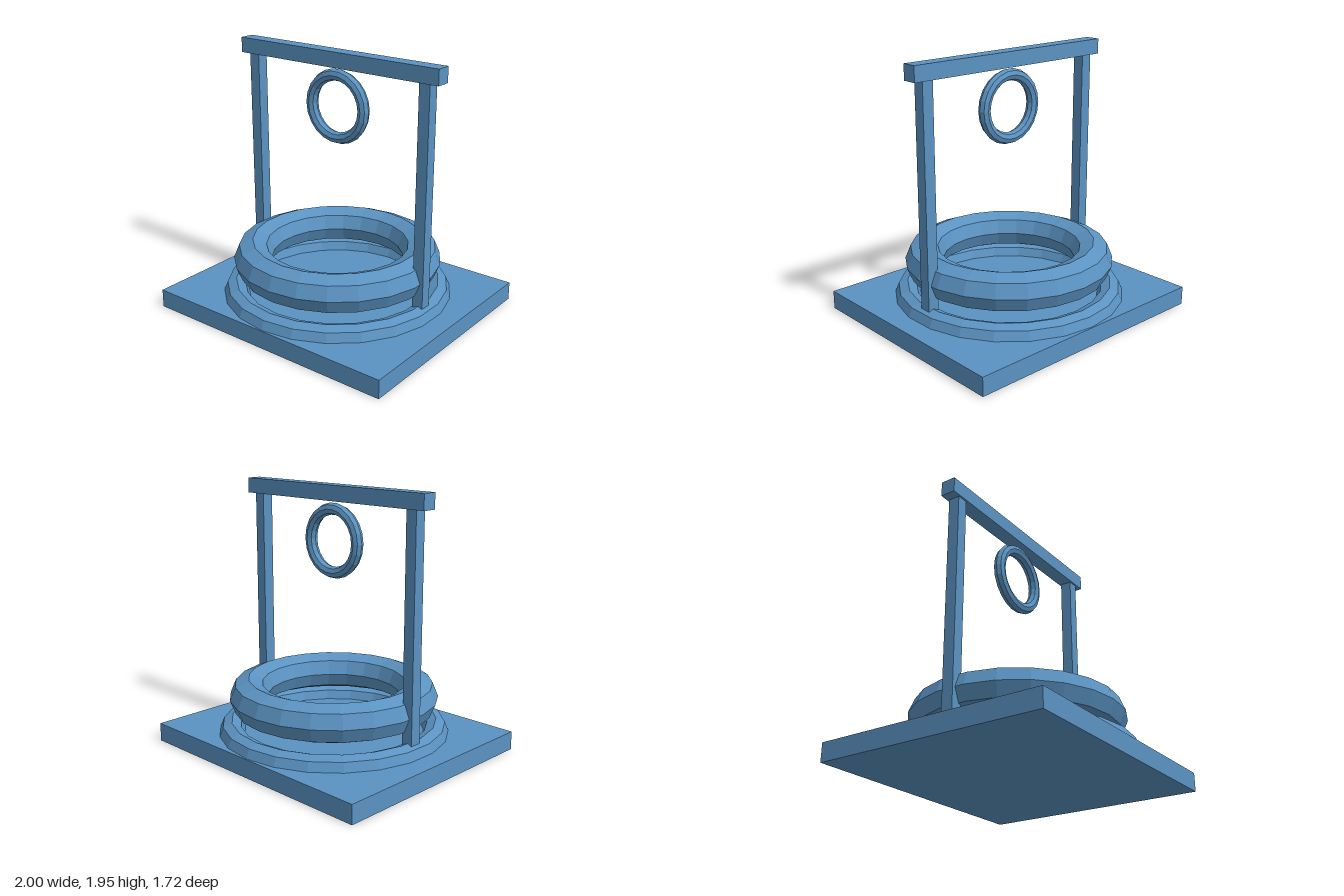
import * as THREE from 'three';

export function createModel() {
  const model = new THREE.Group();
  model.name = 'well';
  const blue = new THREE.MeshStandardMaterial({ color: 0x5b93c2, flatShading: true });
  blue.name = 'blue';

  function add(name, geometry, x, y, z) {
    const mesh = new THREE.Mesh(geometry, blue);
    mesh.name = name;
    mesh.position.set(x, y, z);
    model.add(mesh);
    return mesh;
  }

  // Faceted ring with an eight-sided section
  const ring = (radius, tube) => new THREE.TorusGeometry(radius, tube, 8, 22);
  // The same ring lying flat, with a corner at front and back
  const flatRing = (radius, tube) => ring(radius, tube).rotateX(-Math.PI / 2).rotateY(Math.PI / 2);

  // Base slab
  add('base', new THREE.BoxGeometry(2, 0.138, 1.718), 0, 0.069, 0);

  // Lower ring half sunk in the base, and the thick rim above it
  add('lowerRing', flatRing(0.759, 0.093), 0, 0.137, 0);
  add('rim', flatRing(0.628, 0.142), 0, 0.403, 0);

  // Posts and crossbeam
  for (const side of [1, -1]) {
    add(side > 0 ? 'leftPost' : 'rightPost', new THREE.BoxGeometry(0.084, 1.7, 0.086), side * 0.744, 0.985, 0);
  }
  add('crossbeam', new THREE.BoxGeometry(1.714, 0.112, 0.112), 0, 1.89, 0);

  // Upright ring under the beam
  add('hangingRing', ring(0.229, 0.043), 0, 1.546, 0);

  return model;
}
